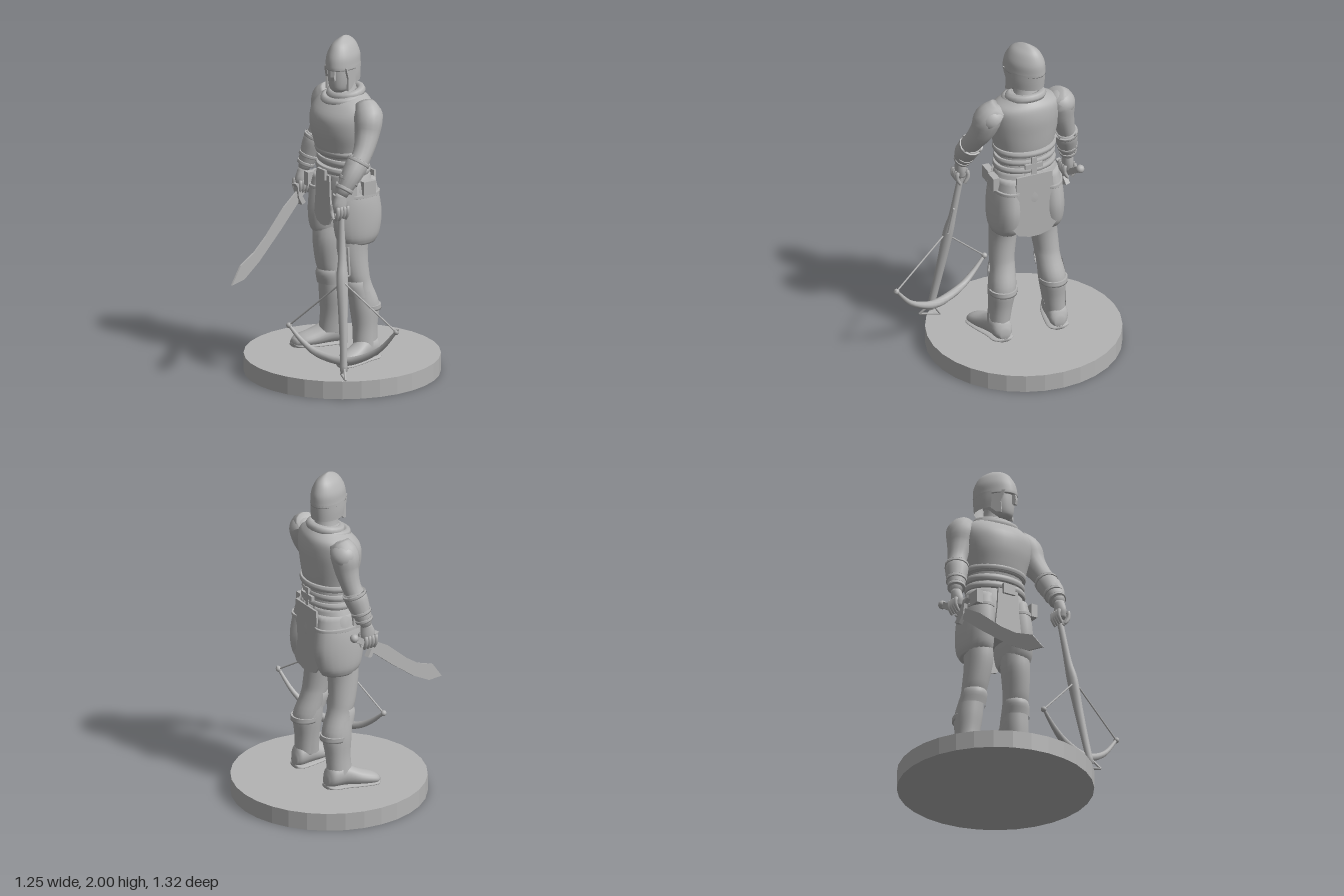
import * as THREE from 'three';

const V = (x, y, z) => new THREE.Vector3(x, y, z);
const CZ = -0.1; // the figure's middle plane; it faces -x

export function createModel() {
  const root = new THREE.Group();
  const grey = new THREE.MeshStandardMaterial({ color: 0xb4b4b4, side: THREE.DoubleSide });

  const add = (name, geo, parent = root) => {
    const m = new THREE.Mesh(geo, grey);
    m.name = name;
    parent.add(m);
    return m;
  };

  // Skin through elliptical rings [x, y, z, ra, rb]; rings lie across a fixed axis or the path.
  // An arc [from, to] makes an open shell instead of a closed body.
  function loft(rings, { axis = null, arc = null, n = 20, sub = 4 } = {}) {
    const path = new THREE.CatmullRomCurve3(rings.map(r => V(r[0], r[1], r[2])), false, 'catmullrom', 0.5);
    const size = new THREE.CatmullRomCurve3(rings.map(r => V(r[3], r[4] ?? r[3], 0)), false, 'catmullrom', 0.5);
    const steps = (rings.length - 1) * sub, pos = [], idx = [];
    const [a0, a1] = arc ?? [0, Math.PI * 2];
    let flip = false;
    for (let i = 0; i <= steps; i++) {
      const p = path.getPoint(i / steps), s = size.getPoint(i / steps), t = path.getTangent(i / steps);
      let u, v;
      if (axis === 'y') { u = V(1, 0, 0); v = V(0, 0, 1); }
      else if (axis === 'x') { u = V(0, 1, 0); v = V(0, 0, 1); }
      else { u = t.clone().cross(V(0, 0, 1)).normalize(); v = t.clone().cross(u).normalize(); }
      if (i === 0) flip = u.clone().cross(v).dot(t) < 0;
      for (let j = 0; j <= n; j++) {
        const k = !arc && j === n ? 0 : j, a = a0 + (a1 - a0) * k / n;
        const q = p.clone().addScaledVector(u, Math.cos(a) * s.x).addScaledVector(v, Math.sin(a) * s.y);
        pos.push(q.x, q.y, q.z);
      }
    }
    const tri = (a, b, c) => flip ? idx.push(a, c, b) : idx.push(a, b, c);
    const w = n + 1, next = j => !arc && j === n - 1 ? 0 : j + 1;
    for (let i = 0; i < steps; i++) for (let j = 0; j < n; j++) {
      const a = i * w + j, b = i * w + next(j);
      tri(a, b, b + w);
      tri(a, b + w, a + w);
    }
    if (!arc) for (const i of [0, steps]) {
      const p = path.getPoint(i / steps), c = pos.length / 3;
      pos.push(p.x, p.y, p.z);
      for (let j = 0; j < n; j++) {
        const a = i * w + j, b = i * w + next(j);
        i ? tri(a, b, c) : tri(b, a, c);
      }
    }
    const g = new THREE.BufferGeometry();
    g.setAttribute('position', new THREE.Float32BufferAttribute(pos, 3));
    g.setIndex(idx);
    g.computeVertexNormals();
    return g;
  }
  const body = (name, rings, o = {}, parent = root) => add(name, loft(rings, { axis: 'y', ...o }), parent);
  const limb = (name, rings, o = {}) => add(name, loft(rings, { n: 14, ...o }));
  const rod = (name, a, b, r) => {
    const m = add(name, new THREE.CylinderGeometry(r, r, a.distanceTo(b), 8));
    m.position.copy(a).lerp(b, 0.5);
    m.quaternion.setFromUnitVectors(V(0, 1, 0), b.clone().sub(a).normalize());
  };
  const box = (name, x, y, z, w, h, d) => add(name, new THREE.BoxGeometry(w, h, d)).position.set(x, y, z);
  const plate = (pts, depth) => new THREE.ExtrudeGeometry(
    new THREE.Shape(pts.map(p => new THREE.Vector2(p[0], p[1]))), { depth, bevelEnabled: false });

  // Round base
  const baseGeo = new THREE.CylinderGeometry(0.565, 0.565, 0.105, 32).toNonIndexed();
  baseGeo.computeVertexNormals();
  add('base', baseGeo).position.set(0.06, 0.0525, CZ);

  // Torso
  body('cuirass', [[0.06, 1.31, CZ, 0.135, 0.175], [0.057, 1.37, CZ, 0.15, 0.185], [0.052, 1.46, CZ, 0.165, 0.205],
    [0.058, 1.55, CZ, 0.166, 0.212], [0.08, 1.62, CZ, 0.135, 0.195], [0.09, 1.66, CZ, 0.1, 0.13], [0.085, 1.69, CZ, 0.07, 0.08]], { n: 28 });
  body('waist', [[0.075, 1.17, CZ, 0.135, 0.18], [0.075, 1.25, CZ, 0.122, 0.168], [0.065, 1.33, CZ, 0.132, 0.17]]);
  for (const [y, rx, rz] of [[1.335, 0.147, 0.185], [1.275, 0.13, 0.18], [1.225, 0.136, 0.184]])
    body('waistBand', [[0.066, y - 0.018, CZ, rx, rz], [0.066, y, CZ, rx + 0.006, rz + 0.005], [0.066, y + 0.018, CZ, rx, rz]], { n: 28 });
  body('neck', [[0.085, 1.62, CZ, 0.08, 0.09], [0.075, 1.7, CZ, 0.068, 0.066], [0.07, 1.76, CZ, 0.062, 0.06]]);
  for (const [x, y, r, t] of [[0.085, 1.67, 0.085, 0.026], [0.06, 1.645, 0.1, 0.024]]) {
    const scarf = add('scarf', new THREE.TorusGeometry(r, t, 8, 24));
    scarf.rotation.set(Math.PI / 2, 0.18, 0);
    scarf.scale.y = 1.1;
    scarf.position.set(x, y, CZ);
  }
  box('backBuckle', 0.203, 1.25, CZ, 0.016, 0.12, 0.03);
  box('backBuckleBar', 0.203, 1.255, CZ, 0.018, 0.03, 0.11);
  box('frontBuckle', -0.075, 1.2, CZ, 0.03, 0.06, 0.08);

  // Hips, skirt and cloth tails
  body('hips', [[0.075, 1.21, CZ, 0.128, 0.175], [0.075, 1.12, CZ, 0.14, 0.205], [0.075, 1.0, CZ, 0.14, 0.21], [0.07, 0.93, CZ, 0.1, 0.16]], { n: 28 });
  const tail = [[-0.11, 1.2], [0.11, 1.2], [0.12, 1.05], [0.145, 0.87], [0.1, 0.81], [0.03, 0.79], [-0.03, 0.79], [-0.1, 0.81], [-0.145, 0.87], [-0.12, 1.05]];
  const backTail = add('backCloth', plate(tail, 0.012).rotateY(Math.PI / 2));
  backTail.position.set(0.205, 0, CZ);
  const frontTail = add('frontCloth', plate(tail.map(([a, y]) => [a * 0.6, 1.2 - (1.2 - y) * 0.75]), 0.012).rotateY(Math.PI / 2));
  frontTail.position.set(-0.075, 0, CZ);

  for (const s of [1, -1]) {
    const z = off => CZ + s * off;
    // Thigh panel
    body('thighPanel', [[0.075, 1.17, z(0.115), 0.125, 0.075], [0.075, 1.06, z(0.125), 0.147, 0.09], [0.077, 0.95, z(0.13), 0.156, 0.094],
      [0.075, 0.85, z(0.132), 0.14, 0.09], [0.075, 0.8, z(0.13), 0.11, 0.076]]);
    body('panelHem', [[0.075, 1.08, z(0.123), 0.149, 0.094], [0.075, 1.1, z(0.123), 0.149, 0.093]]);
    // Leg and boot
    body('leg', [[0.06, 0.88, z(0.125), 0.105, 0.08], [0.045, 0.76, z(0.125), 0.093, 0.08], [0.06, 0.62, z(0.138), 0.08, 0.074],
      [0.08, 0.55, z(0.142), 0.075, 0.072], [0.115, 0.43, z(0.155), 0.08, 0.077], [0.115, 0.3, z(0.165), 0.064, 0.064], [0.115, 0.16, z(0.178), 0.056, 0.055]]);
    body('greave', [[0.088, 0.52, z(0.15), 0.075, 0.074], [0.105, 0.42, z(0.157), 0.086, 0.08], [0.105, 0.3, z(0.166), 0.074, 0.07],
      [0.1, 0.19, z(0.178), 0.074, 0.066]], { arc: [Math.PI * 0.45, Math.PI * 1.55] });
    body('kneeGuard', [[0.08, 0.61, z(0.14), 0.06, 0.062], [0.07, 0.56, z(0.142), 0.083, 0.076], [0.082, 0.49, z(0.15), 0.08, 0.08]],
      { arc: [Math.PI * 0.55, Math.PI * 1.45] });
    body('bootCuff', [[0.12, 0.43, z(0.157), 0.085, 0.083], [0.125, 0.4, z(0.157), 0.083, 0.081]]);
    const foot = [[0.19, 0.15, z(0.17), 0.03, 0.03], [0.16, 0.175, z(0.175), 0.065, 0.058], [0.09, 0.18, z(0.185), 0.07, 0.062],
      [0.0, 0.155, z(0.21), 0.05, 0.068], [-0.08, 0.14, z(0.232), 0.036, 0.062], [-0.118, 0.13, z(0.24), 0.02, 0.03]];
    add('foot', loft(foot, { axis: 'x' }));
    add('sole', loft(foot.map(([x, , zz, , r]) => [x, 0.116, zz, 0.012, r + 0.007]), { axis: 'x' }));
    // Shoulder guard and straps
    const pad = add('shoulderGuard', new THREE.SphereGeometry(0.085, 20, 10, 0, Math.PI * 2, 0, Math.PI * 0.5));
    pad.position.set(0.095, 1.57, z(0.215));
    pad.rotation.x = s * 0.6;
    pad.scale.y = 0.95;
    box('sidePouch', -0.02, 1.12, z(0.185), 0.09, 0.08, 0.04);
  }
  box('hipPouch', 0.1, 1.14, 0.105, 0.08, 0.08, 0.04);

  // Head turned toward its left, with an open-faced helmet
  const head = new THREE.Group();
  head.name = 'head';
  head.position.set(0.065, 0, CZ);
  head.rotation.y = Math.PI / 6;
  root.add(head);
  body('face', [[-0.04, 1.685, 0, 0.045, 0.035], [-0.035, 1.71, 0, 0.075, 0.058], [-0.02, 1.78, 0, 0.098, 0.074], [-0.01, 1.87, 0, 0.105, 0.078]], {}, head);
  body('helmetDome', [[0, 1.825, 0, 0.136, 0.092], [0, 1.85, 0, 0.136, 0.09], [0.004, 1.9, 0, 0.128, 0.085], [0.008, 1.955, 0, 0.098, 0.06],
    [0.012, 1.985, 0, 0.058, 0.027], [0.012, 2.0, 0, 0.012, 0.004]], { n: 28 }, head);
  body('helmetBack', [[0, 1.84, 0, 0.136, 0.092], [0, 1.79, 0, 0.132, 0.093], [0.002, 1.74, 0, 0.125, 0.09]], { arc: [-1.75, 1.75] }, head);
  const cheek = plate([[-0.1, 1.84], [0.03, 1.84], [0.02, 1.77], [-0.045, 1.71], [-0.08, 1.7], [-0.075, 1.77]], 0.012);
  for (const s of [1, -1]) {
    const c = add('cheekGuard', cheek, head);
    c.position.z = s * 0.077 - 0.006;
    c.rotation.y = -s * 0.12;
  }
  add('noseGuard', plate([[-0.13, 1.85], [-0.105, 1.85], [-0.105, 1.77], [-0.135, 1.765], [-0.14, 1.79]], 0.024), head).position.z = -0.012;

  // Arms
  const arms = [
    [[0.1, 1.63, 0.07, 0.06], [0.085, 1.57, 0.13, 0.083], [0.06, 1.48, 0.155, 0.073], [0.005, 1.38, 0.19, 0.058], [-0.08, 1.27, 0.207, 0.057], [-0.148, 1.16, 0.2, 0.034]],
    [[0.1, 1.63, -0.27, 0.06], [0.09, 1.57, -0.315, 0.083], [0.085, 1.48, -0.33, 0.07], [0.07, 1.38, -0.355, 0.056], [0.035, 1.27, -0.385, 0.055], [0.0, 1.14, -0.405, 0.033]],
  ];
  for (const a of arms) {
    limb('arm', a);
    const at = (k, r) => [...V(...a[3]).lerp(V(...a[5]), k).toArray(), r];
    limb('bracer', [at(0.12, 0.058), at(0.3, 0.067), at(0.6, 0.058), at(0.9, 0.045)]);
    for (const [k, r] of [[0.2, 0.07], [0.65, 0.06], [0.85, 0.052]]) limb('bracerBand', [at(k - 0.04, r), at(k + 0.04, r)]);
    // Hand with curled fingers
    const [x, y, z] = a[5];
    body('palm', [[x, y + 0.01, z, 0.03, 0.03], [x - 0.01, y - 0.05, z, 0.045, 0.032], [x - 0.01, y - 0.1, z, 0.035, 0.03]], { n: 12 });
    for (let i = 0; i < 4; i++) {
      const fx = x - 0.045 + i * 0.022;
      for (const s of [1, -1]) limb('finger', [[fx, y - 0.06, z + s * 0.03, 0.012], [fx, y - 0.1, z + s * 0.034, 0.012], [fx, y - 0.14, z + s * 0.012, 0.009]], { n: 8, sub: 2 });
    }
  }

  // Curved sword, laid out in the vertical plane it lies in
  const sword = new THREE.Group();
  sword.name = 'sword';
  sword.position.set(0.1, 0, -0.435);
  sword.rotation.y = Math.PI + 0.296;
  root.add(sword);
  const along = pts => pts.map(([x, y]) => [(0.1 - x) / 0.956, y]);
  add('blade', plate(along([[-0.06, 1.02], [-0.175, 0.95], [-0.33, 0.815], [-0.43, 0.745], [-0.55, 0.695], [-0.625, 0.595], [-0.52, 0.605],
    [-0.39, 0.68], [-0.2, 0.825], [-0.05, 0.95]]), 0.01), sword).position.z = -0.005;
  add('handle', plate(along([[-0.05, 1.01], [0.08, 1.1], [0.1, 1.07], [-0.04, 0.975]]), 0.03), sword).position.z = -0.015;
  add('crossguard', plate(along([[-0.09, 1.07], [-0.06, 1.065], [-0.03, 0.985], [0.0, 0.94], [-0.03, 0.93], [-0.06, 0.98], [-0.07, 1.045]]), 0.03), sword).position.z = -0.015;
  add('pommel', new THREE.SphereGeometry(0.025, 12, 8), sword).position.set(0, 1.09, 0);

  // Crossbow, held nose down
  body('stock', [[-0.14, 1.13, 0.19, 0.015, 0.02], [-0.155, 1.0, 0.21, 0.017, 0.02], [-0.17, 0.8, 0.243, 0.025, 0.022], [-0.185, 0.68, 0.265, 0.036, 0.03],
    [-0.2, 0.5, 0.295, 0.028, 0.028], [-0.22, 0.3, 0.33, 0.02, 0.024], [-0.235, 0.16, 0.355, 0.02, 0.022]], { n: 10 });
  limb('bowArms', [[-0.06, 0.455, 0.65, 0.008], [-0.105, 0.32, 0.54, 0.015], [-0.165, 0.235, 0.41, 0.022], [-0.215, 0.205, 0.3, 0.026], [-0.28, 0.225, 0.15, 0.022],
    [-0.32, 0.28, 0.05, 0.015], [-0.352, 0.36, -0.04, 0.008]], { n: 10 });
  const tips = [V(-0.065, 0.44, 0.64), V(-0.35, 0.355, -0.035)], nut = V(-0.19, 0.67, 0.28);
  for (const t of tips) {
    rod('bowString', t, nut, 0.005);
    add('bowTip', new THREE.SphereGeometry(0.017, 10, 8)).position.copy(t);
  }
  rod('trigger', V(-0.135, 0.86, 0.25), V(-0.145, 0.7, 0.28), 0.007);
  rod('triggerLink', V(-0.145, 0.7, 0.28), V(-0.185, 0.68, 0.27), 0.007);
  const stirrup = [V(-0.22, 0.22, 0.33), V(-0.26, 0.125, 0.41), V(-0.215, 0.125, 0.3), V(-0.23, 0.22, 0.36)];
  for (let i = 0; i < 3; i++) rod('stirrup', stirrup[i], stirrup[i + 1], 0.007);

  return root;
}
